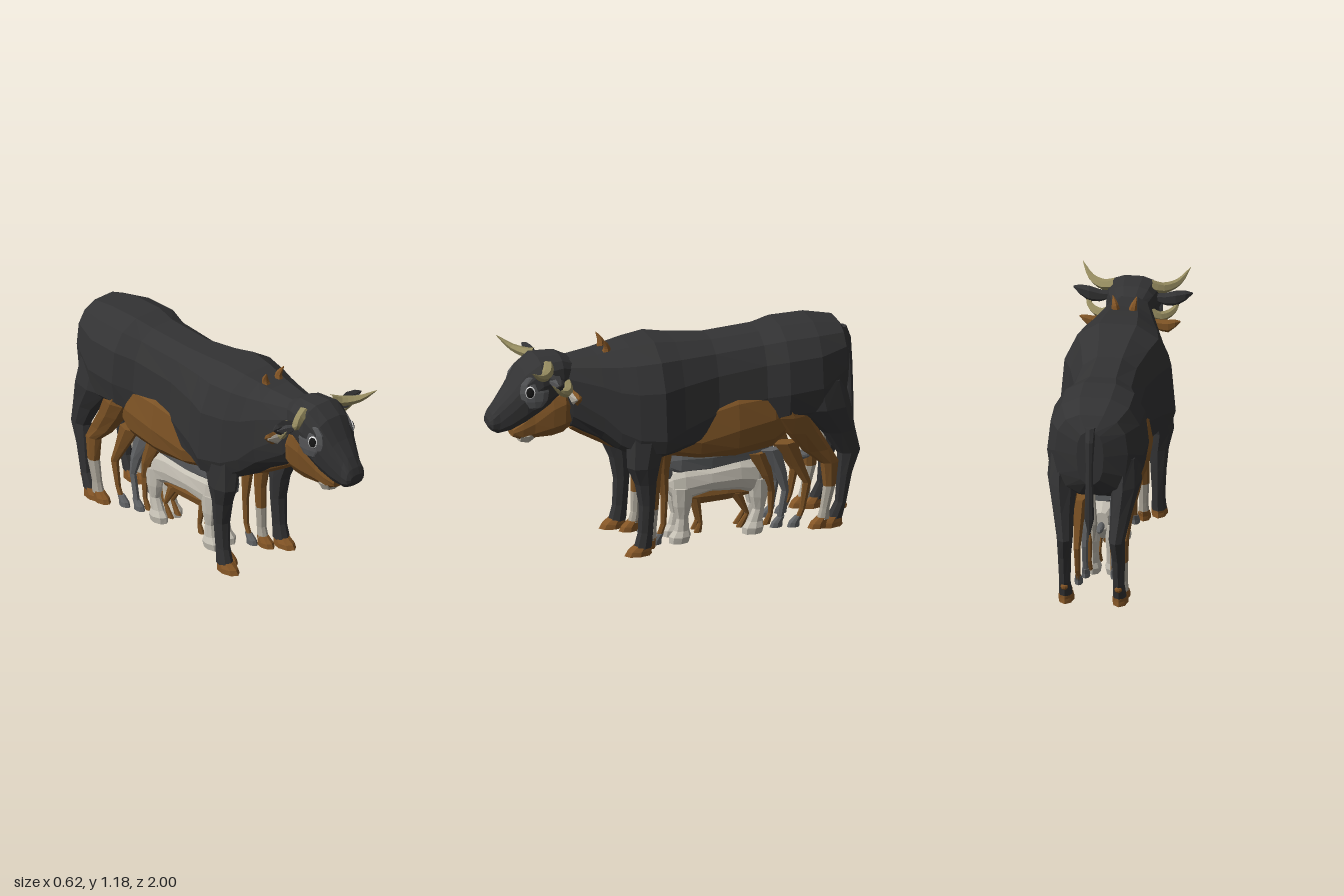
import * as THREE from 'three';

const mat = (name, color) => {
  const m = new THREE.MeshStandardMaterial({ color });
  m.name = name;
  return m;
};

export function createModel() {
  const black = mat('black hide', 0x333334), brown = mat('brown hide', 0x7d5325);
  const pale = mat('pale wool', 0xc6c1b5), sock = mat('pale hide', 0xaea89b);
  const grey = mat('grey hide', 0x626466), slate = mat('dark grey hide', 0x535456);
  const horn = mat('horn', 0x968c60), hoof = mat('hoof', 0x855626);
  const dark = mat('pupil', 0x151515), white = mat('eye white', 0xe8e8e8);
  const root = new THREE.Group();
  root.name = 'nestedAnimals';

  // faceted mesh
  function add(name, geometry, material) {
    const g = geometry.index ? geometry.toNonIndexed() : geometry;
    g.computeVertexNormals();
    const mesh = new THREE.Mesh(g, material);
    mesh.name = name;
    root.add(mesh);
  }

  // joins equal rings of points and closes both ends
  function skin(rings) {
    const n = rings[0].length, pos = rings.flat(2), idx = [];
    for (let r = 0; r < rings.length - 1; r++) for (let i = 0; i < n; i++) {
      const a = r * n + i, b = r * n + (i + 1) % n;
      idx.push(a, b, b + n, a, b + n, a + n);
    }
    const last = (rings.length - 1) * n;
    for (let i = 1; i < n - 1; i++) idx.push(0, i + 1, i, last, last + i, last + i + 1);
    const g = new THREE.BufferGeometry();
    g.setAttribute('position', new THREE.Float32BufferAttribute(pos, 3));
    g.setIndex(idx);
    return g;
  }
  const pow = (v, e) => Math.sign(v) * Math.abs(v) ** e;
  const ring = (n, f) => Array.from({ length: n }, (_, i) => f(Math.PI * 2 * i / n));
  const sided = (name, s) => (s > 0 ? 'left ' : 'right ') + name;

  // trunk from rows of [z, top, bottom, half width, height of widest point]
  const trunk = (name, rows, material, n = 14) => add(name, skin(rows.map(([z, top, bot, w, yw]) =>
    ring(n, t => {
      const s = pow(Math.sin(t), 0.75);
      return [w * pow(Math.cos(t), 0.75), yw + s * (s > 0 ? top - yw : yw - bot), z];
    }))), material);

  // upright limb from rows of [y, x, z, x radius, z radius], lowest first
  const limb = (name, rows, material, side = 1, n = 8) => add(name, skin(rows.map(([y, x, z, rx, rz]) =>
    ring(n, t => [side * x + rx * Math.cos(t), y, z - rz * Math.sin(t)]))), material);
  const pair = (name, rows, material, n) => [1, -1].forEach(s => limb(sided(name, s), rows, material, s, n));

  // pointed ears from rows of [x, y, z, y radius], root first
  const ears = (name, rows, thick, material) => [1, -1].forEach(s => add(sided(name, s),
    skin(rows.map(([x, y, z, r]) => ring(6, t =>
      [s * x, y + r * Math.cos(t), z + Math.min(thick, r) * Math.sin(s * t)]))), material));

  // squashed ball, mirrored to both sides
  const blobs = (name, [x, y, z], [a, b, c], [ry, rz], material) => [1, -1].forEach(s => {
    const g = new THREE.SphereGeometry(1, 10, 6);
    g.scale(a, b, c).rotateY(s * ry).rotateZ(s * rz).translate(s * x, y, z);
    add(sided(name, s), g, material);
  });

  // tapered curved horns
  const horns = (name, pts, r, material) => [1, -1].forEach(s => {
    const curve = new THREE.CatmullRomCurve3(pts.map(([x, y, z]) => new THREE.Vector3(s * x, y, z)));
    const seg = 8, g = new THREE.TubeGeometry(curve, seg, r, 6), p = g.attributes.position;
    const v = new THREE.Vector3();
    for (let i = 0; i < p.count; i++) {
      const u = Math.floor(i / 7) / seg, c = curve.getPointAt(u);
      v.fromBufferAttribute(p, i).sub(c).multiplyScalar(1 - 0.95 * u ** 1.8).add(c);
      p.setXYZ(i, v.x, v.y, v.z);
    }
    add(sided(name, s), g, material);
  });
  const hooves = (name, x, z, rx, rz, material, y = 0.025) => pair(name, [
    [y, x, z + 0.015, rx, rz], [y + 0.025, x, z + 0.01, rx * 0.97, rz * 0.88],
    [y + 0.055, x, z - 0.012, rx * 0.8, rz * 0.6]], material);

  // bull: body, head, legs, tail
  trunk('bull body', [
    [-0.95, 1.04, 0.74, 0.07, 0.9], [-0.9, 1.115, 0.66, 0.19, 0.9], [-0.75, 1.145, 0.58, 0.25, 0.83],
    [-0.57, 1.145, 0.6, 0.255, 0.82], [-0.46, 1.125, 0.55, 0.21, 0.8], [-0.2, 1.115, 0.53, 0.2, 0.75],
    [0, 1.135, 0.53, 0.25, 0.7], [0.12, 1.155, 0.53, 0.3, 0.67], [0.25, 1.14, 0.54, 0.265, 0.68],
    [0.34, 1.125, 0.585, 0.225, 0.72], [0.42, 1.11, 0.645, 0.19, 0.8], [0.57, 1.095, 0.72, 0.13, 0.9],
    [0.64, 1.09, 0.85, 0.1, 0.97]], black);
  trunk('bull head', [
    [0.55, 1.09, 0.92, 0.09, 1.0], [0.62, 1.125, 0.9, 0.125, 1.02], [0.74, 1.13, 0.82, 0.146, 1.0],
    [0.82, 1.075, 0.77, 0.133, 0.94], [0.89, 0.97, 0.735, 0.1, 0.86], [0.95, 0.895, 0.725, 0.07, 0.8],
    [0.985, 0.845, 0.745, 0.063, 0.79], [1.0, 0.81, 0.77, 0.045, 0.79]], black, 14);
  pair('bull front leg', [
    [0.065, 0.2, 0.22, 0.04, 0.05], [0.15, 0.2, 0.205, 0.034, 0.042], [0.3, 0.2, 0.197, 0.042, 0.045],
    [0.42, 0.203, 0.205, 0.05, 0.06], [0.52, 0.215, 0.22, 0.062, 0.09], [0.7, 0.19, 0.19, 0.085, 0.12]], black);
  pair('bull hind leg', [
    [0.065, 0.14, -0.845, 0.036, 0.045], [0.15, 0.14, -0.88, 0.03, 0.032], [0.3, 0.14, -0.9, 0.034, 0.042],
    [0.42, 0.135, -0.925, 0.042, 0.063], [0.55, 0.15, -0.865, 0.055, 0.09],
    [0.7, 0.165, -0.77, 0.08, 0.155], [0.85, 0.165, -0.74, 0.07, 0.15]], black);
  hooves('bull front hoof', 0.2, 0.23, 0.043, 0.075, hoof);
  hooves('bull hind hoof', 0.14, -0.83, 0.042, 0.075, hoof, 0.02);
  blobs('bull dewclaw', [0.14, 0.125, -0.9], [0.02, 0.018, 0.013], [0, 0], hoof);
  limb('bull tail', [
    [0.47, 0, -0.985, 0.005, 0.005], [0.56, 0, -0.98, 0.025, 0.018], [0.68, 0, -0.98, 0.022, 0.018],
    [0.85, 0, -0.975, 0.018, 0.018], [0.99, 0, -0.96, 0.025, 0.025], [1.06, 0, -0.925, 0.03, 0.035]], black);
  horns('bull horn', [[0.09, 1.095, 0.7], [0.15, 1.075, 0.72], [0.225, 1.085, 0.78], [0.28, 1.14, 0.85]], 0.031, horn);
  ears('bull ear', [[0.11, 1.035, 0.69, 0.02], [0.17, 1.03, 0.685, 0.035], [0.225, 1.04, 0.68, 0.044],
    [0.275, 1.055, 0.69, 0.028], [0.31, 1.065, 0.7, 0.004]], 0.02, black);
  ears('bull inner ear', [[0.15, 1.025, 0.7, 0.012], [0.22, 1.035, 0.7, 0.03], [0.29, 1.058, 0.705, 0.005]],
    0.012, slate);

  // eyes with grey surround
  blobs('eye patch', [0.118, 0.965, 0.782], [0.024, 0.092, 0.08], [-0.2, 0.12], slate);
  blobs('eye white', [0.136, 0.975, 0.81], [0.009, 0.033, 0.027], [-0.25, 0.15], white);
  blobs('pupil', [0.139, 0.975, 0.812], [0.01, 0.028, 0.022], [-0.25, 0.15], dark);

  // cow inside the bull
  trunk('cow body', [
    [-0.8, 0.88, 0.66, 0.1, 0.78], [-0.62, 0.9, 0.56, 0.18, 0.72], [-0.5, 0.9, 0.475, 0.222, 0.68],
    [-0.3, 0.91, 0.455, 0.232, 0.65], [-0.1, 0.86, 0.475, 0.212, 0.6], [0.1, 0.85, 0.515, 0.19, 0.64],
    [0.24, 0.9, 0.53, 0.15, 0.68], [0.36, 0.9, 0.58, 0.085, 0.72], [0.5, 0.92, 0.66, 0.075, 0.8],
    [0.56, 0.93, 0.7, 0.09, 0.83]], brown);
  trunk('cow head', [
    [0.56, 0.95, 0.73, 0.11, 0.85], [0.61, 0.97, 0.69, 0.128, 0.88], [0.67, 0.95, 0.675, 0.112, 0.85],
    [0.76, 0.85, 0.675, 0.075, 0.77], [0.82, 0.79, 0.67, 0.062, 0.74], [0.87, 0.745, 0.695, 0.045, 0.72]], brown, 12);
  trunk('cow chin', [
    [0.74, 0.73, 0.68, 0.05, 0.71], [0.79, 0.74, 0.65, 0.064, 0.7], [0.83, 0.73, 0.66, 0.05, 0.695]], sock, 8);
  pair('cow front leg', [
    [0.24, 0.132, 0.14, 0.028, 0.03], [0.36, 0.132, 0.135, 0.03, 0.035],
    [0.46, 0.138, 0.14, 0.036, 0.045], [0.6, 0.145, 0.15, 0.05, 0.08]], brown);
  pair('cow front sock', [[0.07, 0.13, 0.155, 0.028, 0.032], [0.13, 0.13, 0.145, 0.024, 0.025],
    [0.24, 0.132, 0.14, 0.028, 0.03]], sock);
  pair('cow hind leg', [
    [0.25, 0.15, -0.815, 0.03, 0.035], [0.38, 0.15, -0.815, 0.034, 0.05], [0.46, 0.155, -0.745, 0.038, 0.075],
    [0.58, 0.16, -0.66, 0.06, 0.09], [0.68, 0.17, -0.6, 0.07, 0.1], [0.8, 0.175, -0.545, 0.06, 0.05]], brown);
  pair('cow hind sock', [[0.07, 0.15, -0.78, 0.028, 0.035], [0.13, 0.15, -0.79, 0.025, 0.027],
    [0.25, 0.15, -0.815, 0.03, 0.035]], sock);
  hooves('cow front hoof', 0.13, 0.165, 0.034, 0.055, hoof);
  hooves('cow hind hoof', 0.15, -0.765, 0.034, 0.055, hoof);
  horns('cow horn', [[0.1, 0.99, 0.6], [0.15, 0.965, 0.61], [0.215, 0.98, 0.66], [0.245, 1.045, 0.73]], 0.028, horn);
  ears('cow ear', [[0.1, 0.945, 0.585, 0.02], [0.16, 0.93, 0.58, 0.033], [0.2, 0.93, 0.575, 0.036],
    [0.235, 0.945, 0.58, 0.022], [0.262, 0.955, 0.585, 0.004]], 0.018, brown);
  ears('cow inner ear', [[0.12, 0.94, 0.592, 0.018], [0.18, 0.926, 0.592, 0.03], [0.25, 0.948, 0.594, 0.006]],
    0.012, sock);
  limb('cow tail tuft', [[0.36, 0, -0.83, 0.005, 0.005], [0.46, 0, -0.83, 0.022, 0.022],
    [0.6, 0, -0.83, 0.012, 0.012], [0.75, 0, -0.82, 0.012, 0.012]], sock);

  // brown goat: legs and horn tips
  horns('goat horn', [[0.043, 1.08, 0.37], [0.047, 1.13, 0.362], [0.062, 1.18, 0.385]], 0.025, hoof);
  pair('goat front leg', [
    [0.06, 0.093, 0.095, 0.014, 0.016], [0.13, 0.093, 0.07, 0.014, 0.016], [0.28, 0.093, 0.065, 0.018, 0.02],
    [0.42, 0.095, 0.075, 0.025, 0.035], [0.55, 0.1, 0.08, 0.04, 0.06]], brown, 6);
  pair('goat hind leg', [
    [0.06, 0.1, -0.66, 0.014, 0.016], [0.12, 0.1, -0.685, 0.014, 0.016], [0.26, 0.1, -0.71, 0.018, 0.024],
    [0.36, 0.1, -0.66, 0.025, 0.04], [0.5, 0.1, -0.59, 0.04, 0.07]], brown, 6);
  hooves('goat front hoof', 0.093, 0.1, 0.022, 0.035, grey);
  hooves('goat hind hoof', 0.1, -0.65, 0.022, 0.035, grey);

  // grey animal under the belly
  trunk('grey body', [[-0.52, 0.52, 0.44, 0.06, 0.48], [-0.44, 0.55, 0.4, 0.09, 0.47],
    [-0.2, 0.55, 0.37, 0.095, 0.46], [-0.04, 0.54, 0.36, 0.07, 0.46], [0.02, 0.5, 0.4, 0.045, 0.45]], grey, 10);
  pair('grey hind leg', [[0.06, 0.075, -0.57, 0.015, 0.018], [0.22, 0.075, -0.6, 0.016, 0.02],
    [0.32, 0.075, -0.575, 0.025, 0.035], [0.46, 0.075, -0.52, 0.03, 0.06]], grey, 6);
  hooves('grey hind hoof', 0.075, -0.565, 0.022, 0.035, grey);
  blobs('grey tail', [0.02, 0.375, -0.7], [0.02, 0.018, 0.06], [0, 0], grey);

  // brown kid legs behind the sheep
  pair('kid hind leg', [[0.04, 0.06, -0.5, 0.014, 0.022], [0.1, 0.06, -0.525, 0.011, 0.014],
    [0.22, 0.06, -0.53, 0.014, 0.02], [0.32, 0.068, -0.5, 0.026, 0.035], [0.45, 0.07, -0.45, 0.034, 0.06]], brown, 6);

  // woolly sheep
  trunk('sheep body', [[-0.51, 0.37, 0.27, 0.035, 0.32], [-0.46, 0.41, 0.2, 0.08, 0.3],
    [-0.36, 0.42, 0.24, 0.088, 0.32], [-0.2, 0.4, 0.255, 0.09, 0.32], [-0.06, 0.405, 0.22, 0.08, 0.3],
    [0, 0.38, 0.24, 0.06, 0.3], [0.025, 0.34, 0.28, 0.035, 0.31]], pale, 12);
  const woolLeg = (name, z, lean) => pair(name, [
    [0, 0.05, z + 0.005, 0.036, 0.055], [0.035, 0.05, z, 0.042, 0.06], [0.065, 0.048, z - 0.01, 0.03, 0.042],
    [0.13, 0.046, z + lean, 0.026, 0.032], [0.2, 0.048, z + lean, 0.034, 0.05],
    [0.3, 0.05, z + lean, 0.036, 0.06]], pale);
  woolLeg('sheep front leg', -0.035, -0.015);
  woolLeg('sheep hind leg', -0.435, -0.03);
  trunk('sheep face', [[0, 0.48, 0.33, 0.04, 0.4], [0.05, 0.48, 0.34, 0.055, 0.42],
    [0.08, 0.42, 0.33, 0.035, 0.38]], grey, 8);

  // small brown animal between the sheep's legs
  trunk('small body', [[-0.42, 0.25, 0.2, 0.03, 0.22], [-0.3, 0.28, 0.185, 0.045, 0.23],
    [-0.15, 0.28, 0.18, 0.045, 0.23], [-0.06, 0.26, 0.2, 0.025, 0.23]], brown, 8);
  pair('small front leg', [[0.03, 0.025, -0.14, 0.014, 0.022], [0.08, 0.025, -0.155, 0.01, 0.012],
    [0.22, 0.025, -0.13, 0.016, 0.025]], brown, 6);
  pair('small hind leg', [[0.03, 0.025, -0.37, 0.014, 0.022], [0.1, 0.025, -0.41, 0.01, 0.012],
    [0.22, 0.025, -0.35, 0.018, 0.035]], brown, 6);
  return root;
}
